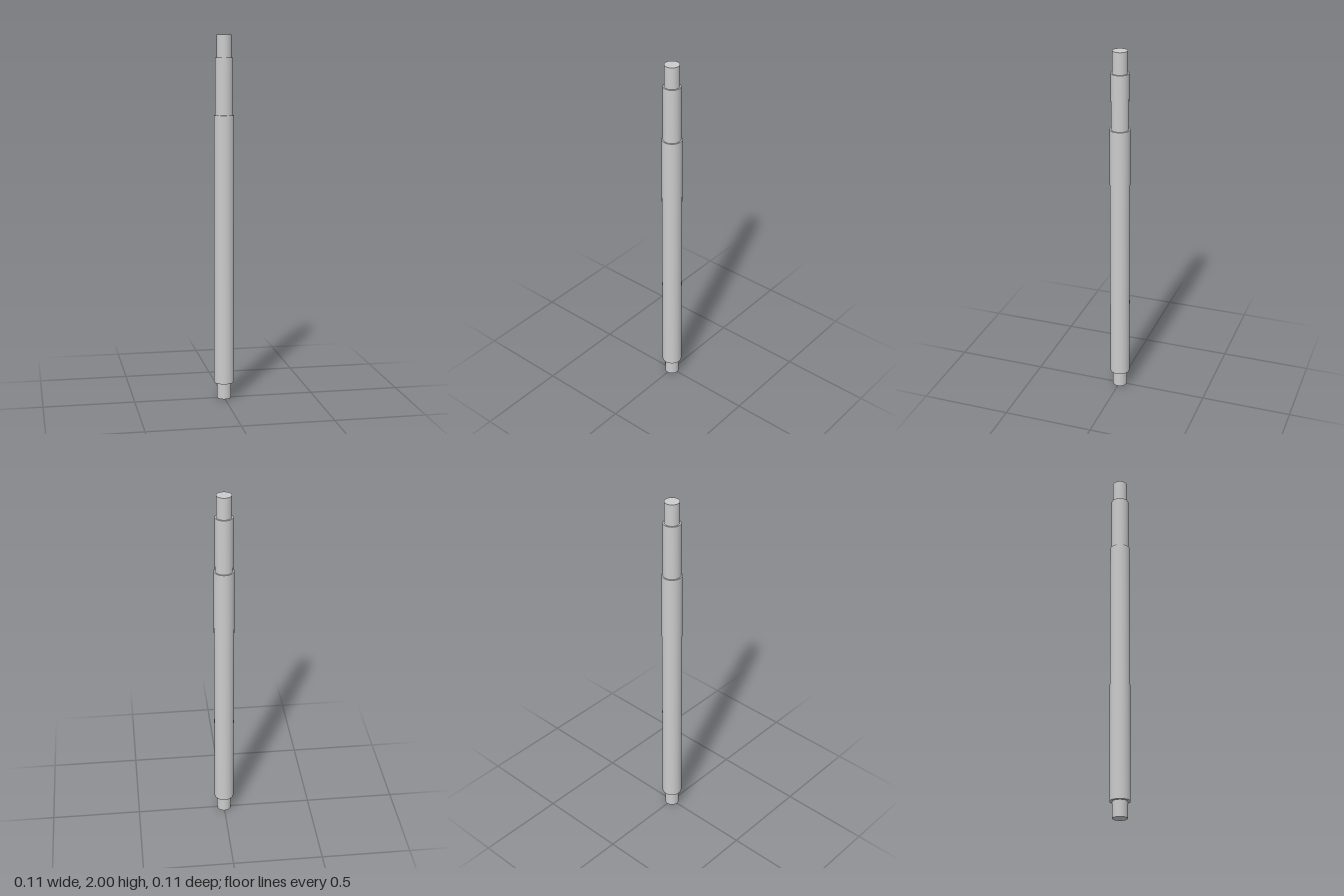
import * as THREE from 'three';

export function createModel() {
  const group = new THREE.Group();
  const material = new THREE.MeshStandardMaterial({ color: 0xcccccc });

  // Coaxial shaft sections, bottom to top: name, radius, start height, end height
  const sections = [
    ['lowerJournal', 0.04, 0, 0.09],
    ['mainShaft', 0.055, 0.09, 1.573],
    ['upperCollar', 0.048, 1.573, 1.88],
    ['upperJournal', 0.04, 1.88, 2],
  ];

  for (const [name, radius, y0, y1] of sections) {
    const mesh = new THREE.Mesh(new THREE.CylinderGeometry(radius, radius, y1 - y0, 64), material);
    mesh.position.y = (y0 + y1) / 2;
    mesh.name = name;
    group.add(mesh);
  }
  return group;
}
